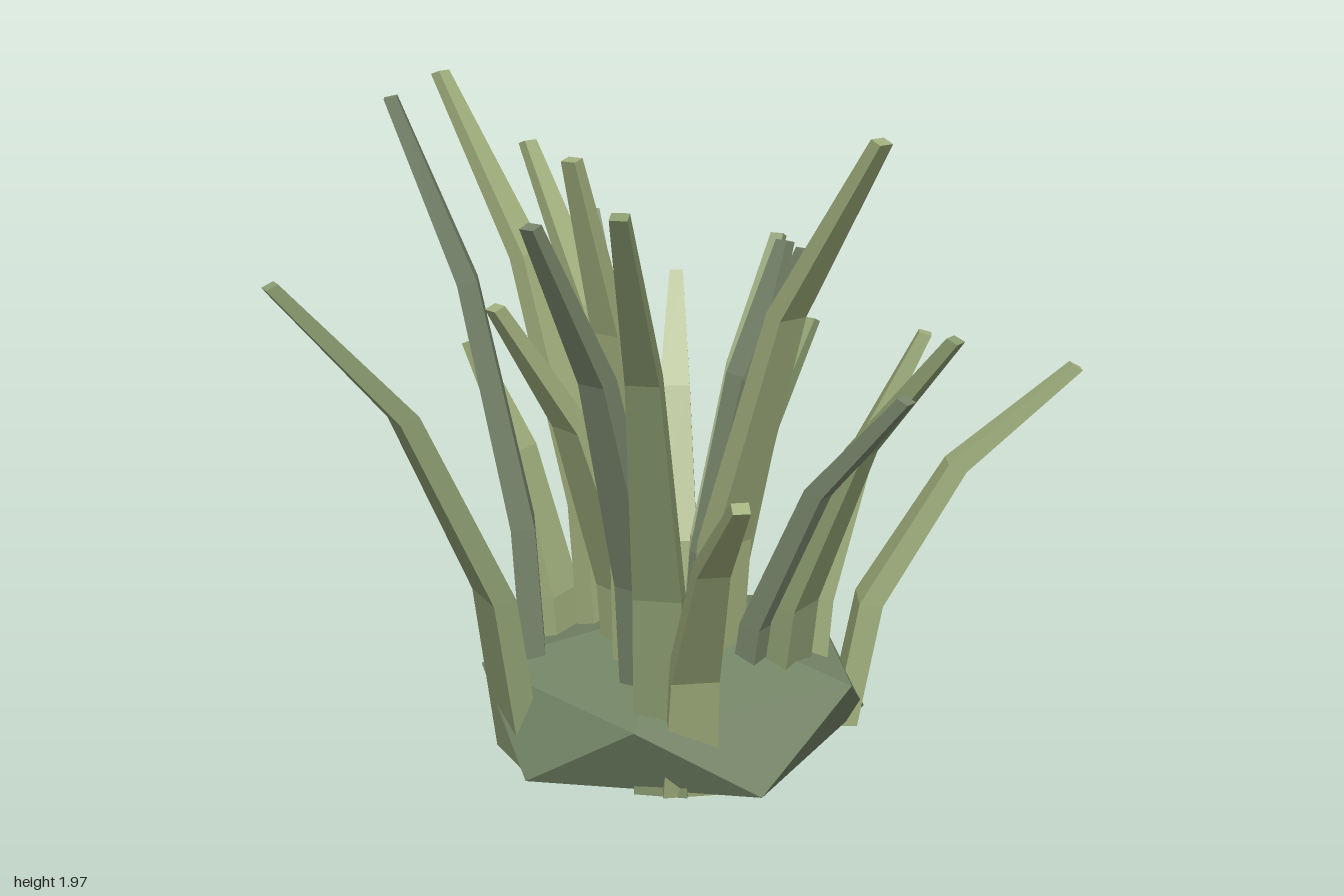
import * as THREE from 'three';

const mat = (color) => new THREE.MeshStandardMaterial({ color, flatShading: true });
const moss = mat(0x738466);
const tones = [mat(0xa0ae7c), mat(0x8a9b6f), mat(0x76846a)];

const BASE_Y = 0.12;
// four sections per blade: height fraction, lean fraction, width and thickness
const SECTIONS = [
  { h: 0, lean: 0, w: 0.165, t: 0.07, tilt: 0 },
  { h: 0.35, lean: 0.105, w: 0.145, t: 0.068, tilt: 0.15 },
  { h: 0.73, lean: 0.48, w: 0.095, t: 0.056, tilt: 0.5 },
  { h: 1, lean: 1, w: 0.042, t: 0.035, tilt: 0.6 },
];

// base x, base z, tip x, tip y, tip z, tone, relative width
const BLADES = [
  [0.04, -0.235, -0.03, 1.96, -0.88, 0, 0.95],
  [0.13, -0.165, 0.18, 1.75, -0.74, 0, 0.95],
  [0.31, -0.46, 0.44, 1.51, -0.75, 2, 0.95],
  [0.4, -0.34, 0.74, 1.28, -0.68, 0, 1],
  [0.4, -0.2, 0.97, 1.4, -0.45, 1, 0.85],
  [0.355, -0.12, 0.88, 1.18, -0.22, 1, 0.85],
  [-0.07, -0.305, -0.15, 1.22, -0.62, 0, 0.9],
  [-0.21, -0.27, -0.49, 1.97, -0.5, 2, 0.95],
  [-0.355, -0.185, -0.98, 1.56, -0.37, 1, 1.08],
  [-0.03, -0.04, -0.51, 1.48, -0.06, 0, 1.15],
  [-0.095, 0.05, -0.4, 1.87, 0.12, 0, 0.88],
  [-0.155, 0.15, -0.63, 1.75, 0.23, 2, 0.88],
  [-0.215, 0.255, -0.7, 1.84, 0.62, 1, 0.9],
  [-0.165, 0.305, -0.57, 1.19, 0.88, 0, 0.9],
  [0.1, 0.115, 0.035, 1.94, 0.75, 0, 0.95],
  [0.165, 0.2, 0.24, 1.24, 0.69, 2, 0.8],
  [0.235, 0.265, 0.33, 1.4, 0.77, 1, 0.9],
  [0.39, 0.245, 0.58, 1.32, 0.47, 0, 0.9],
  [0.505, 0.28, 0.96, 1.2, 0.71, 0, 0.85],
  [0.24, -0.02, 0.53, 1.51, -0.015, 2, 1.15],
  [0.235, -0.04, 0.52, 1.5, 0.07, 2, 1.1],
];

// bent, tapering blade made by moving the rings of a three-segment box
function makeBlade([bx, bz, tx, ty, tz, tone, scale]) {
  const out = new THREE.Vector3(tx - bx, 0, tz - bz);
  const reach = out.length();
  out.normalize();
  const side = new THREE.Vector3(0, 1, 0).cross(out);
  const geo = new THREE.BoxGeometry(1, 1, 1, 1, 3, 1);
  const pos = geo.attributes.position;
  const p = new THREE.Vector3();
  for (let i = 0; i < pos.count; i++) {
    const s = SECTIONS[Math.round((pos.getY(i) + 0.5) * 3)];
    // rings tip over along with the lean
    const angle = s.tilt * Math.atan2(reach * 1.8, ty - BASE_Y);
    const depth = pos.getZ(i) * s.t;
    const width = pos.getX(i) * (s.h === 1 ? s.w : s.w * scale);
    p.set(bx, BASE_Y + s.h * (ty - BASE_Y), bz)
      .addScaledVector(out, s.lean * reach + depth * Math.cos(angle))
      .addScaledVector(side, width);
    p.y -= depth * Math.sin(angle);
    pos.setXYZ(i, p.x, p.y, p.z);
  }
  geo.computeVertexNormals();
  const mesh = new THREE.Mesh(geo, tones[tone]);
  mesh.name = 'blade';
  return mesh;
}

export function createModel() {
  const model = new THREE.Group();
  model.name = 'grassTuft';

  // flattened icosahedron standing on one corner
  const clump = new THREE.IcosahedronGeometry(1, 0);
  clump.rotateX(-Math.atan((1 + Math.sqrt(5)) / 2));
  clump.rotateY(Math.PI / 2);
  clump.scale(0.65, 0.245, 0.61);
  clump.translate(0.11, 0.245, -0.025);
  clump.computeVertexNormals();
  const mound = new THREE.Mesh(clump, moss);
  mound.name = 'mound';
  model.add(mound);

  const blades = new THREE.Group();
  blades.name = 'blades';
  BLADES.forEach((b) => blades.add(makeBlade(b)));
  model.add(blades);
  return model;
}
